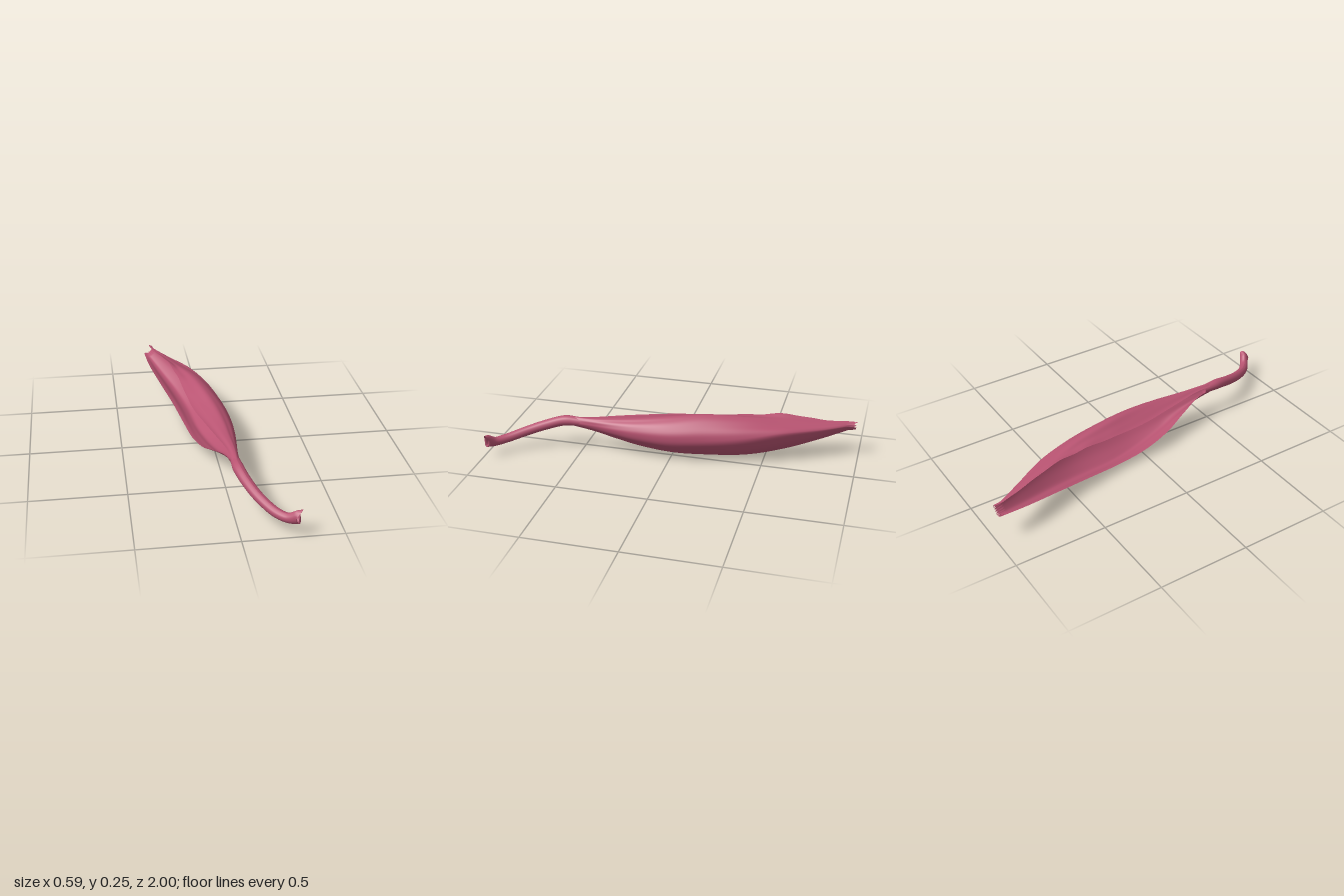
import * as THREE from 'three';

const V = (x, y, z) => new THREE.Vector3(x, y, z);

// Blade sections from stem to tip: z, then (x, y) of the
// lower margin, belly, outer side, crown and upper margin.
const SECTIONS = [
  [0.56, 0.026, 0.158, 0.044, 0.134, 0.068, 0.16, 0.048, 0.19, 0.028, 0.178],
  [0.44, 0.008, 0.152, 0.042, 0.115, 0.072, 0.156, 0.055, 0.19, 0.016, 0.186],
  [0.3, -0.034, 0.11, 0.037, 0.08, 0.087, 0.15, 0.05, 0.199, -0.022, 0.194],
  [0.18, -0.07, 0.066, 0.022, 0.046, 0.098, 0.142, 0.046, 0.211, -0.055, 0.199],
  [0, -0.108, 0.034, -0.008, 0.012, 0.099, 0.134, 0.024, 0.232, -0.1, 0.205],
  [-0.18, -0.133, 0.03, -0.045, 0.003, 0.076, 0.14, -0.016, 0.249, -0.122, 0.213],
  [-0.4, -0.174, 0.055, -0.076, 0.016, 0.03, 0.158, -0.06, 0.239, -0.146, 0.228],
  [-0.6, -0.227, 0.093, -0.132, 0.05, -0.045, 0.18, -0.116, 0.214, -0.184, 0.238],
  [-0.8, -0.276, 0.127, -0.212, 0.1, -0.155, 0.175, -0.188, 0.198, -0.226, 0.206],
  [-0.95, -0.297, 0.145, -0.274, 0.146, -0.245, 0.178, -0.252, 0.192, -0.267, 0.196],
];

// Thin open leaf blade, rolled around its length, with a torn tip
function bladeGeometry(rows, cols) {
  const rails = [0, 1, 2, 3, 4].map(k => new THREE.CatmullRomCurve3(
    SECTIONS.map(s => V(s[1 + 2 * k], s[2 + 2 * k], s[0]))));
  const positions = [], index = [];
  for (let i = 0; i <= rows; i++) {
    const t = i / rows;
    const section = new THREE.CatmullRomCurve3(rails.map(r => r.getPoint(t)));
    const swell = Math.sin(Math.PI * t);
    for (let j = 0; j <= cols; j++) {
      const s = j / cols, p = section.getPoint(s);
      // Lengthwise veins and gentle creases
      const tangent = section.getTangent(s);
      const vein = 0.0014 * swell * (Math.sin(s * 31 + 3 * t) + 0.6 * Math.sin(s * 53 - 7 * t));
      p.x += tangent.y * vein;
      p.y -= tangent.x * vein;
      // Uneven upper margin towards the tip
      const edge = THREE.MathUtils.smoothstep(s, 0.85, 1) * THREE.MathUtils.smoothstep(t, 0.5, 0.7);
      p.y += 0.004 * edge * swell * Math.sin(t * 60);
      // Ragged end
      if (i === rows) {
        p.z -= 0.012 + 0.018 * Math.abs(Math.sin(j * 2.1));
        if (j === cols - 2) p.z = -0.995;
      }
      positions.push(p.x, p.y, p.z);
    }
  }
  const w = cols + 1;
  for (let i = 0; i < rows; i++) for (let j = 0; j < cols; j++) {
    const a = i * w + j, b = a + w;
    index.push(a, b, a + 1, b, b + 1, a + 1);
  }
  const g = new THREE.BufferGeometry();
  g.setAttribute('position', new THREE.Float32BufferAttribute(positions, 3));
  g.setIndex(index);
  g.computeVertexNormals();
  return g;
}

// Curved hollow stem, tapering and then flaring at its cut end
function stemGeometry() {
  const path = new THREE.CatmullRomCurve3([
    V(0.045, 0.162, 0.5), V(0.05, 0.162, 0.6), V(0.077, 0.137, 0.7), V(0.12, 0.107, 0.8),
    V(0.185, 0.079, 0.9), V(0.235, 0.077, 0.95), V(0.282, 0.1, 0.982),
  ]);
  const rows = 48, sides = 16;
  const g = new THREE.TubeGeometry(path, rows, 1, sides, false);
  const pos = g.attributes.position, p = V();
  for (let i = 0; i <= rows; i++) {
    const t = i / rows, c = path.getPointAt(t);
    const flare = THREE.MathUtils.smoothstep(t, 0.86, 1);
    const radius = t < 0.15 ? 0.023 + 0.04 * t : 0.029 - 0.007 * (t - 0.15);
    for (let j = 0; j <= sides; j++) {
      const k = i * (sides + 1) + j;
      p.fromBufferAttribute(pos, k).sub(c).multiplyScalar(radius);
      p.y *= 1 + 0.6 * flare;
      // Slanted, notched rim with a longer upper lip
      if (i === rows) p.x += 0.6 * p.y + 0.3 * Math.abs(p.y) - 0.012;
      p.add(c);
      pos.setXYZ(k, p.x, p.y, Math.min(p.z, 1));
    }
  }
  g.computeVertexNormals();
  return g;
}

export function createModel() {
  const rose = new THREE.MeshStandardMaterial({ color: 0xb95472, side: THREE.DoubleSide });
  rose.name = 'rose';
  const group = new THREE.Group();
  group.name = 'rolledLeaf';
  const add = (name, geometry) => {
    const mesh = new THREE.Mesh(geometry, rose);
    mesh.name = name;
    group.add(mesh);
  };
  add('blade', bladeGeometry(90, 56));
  add('stem', stemGeometry());
  return group;
}
